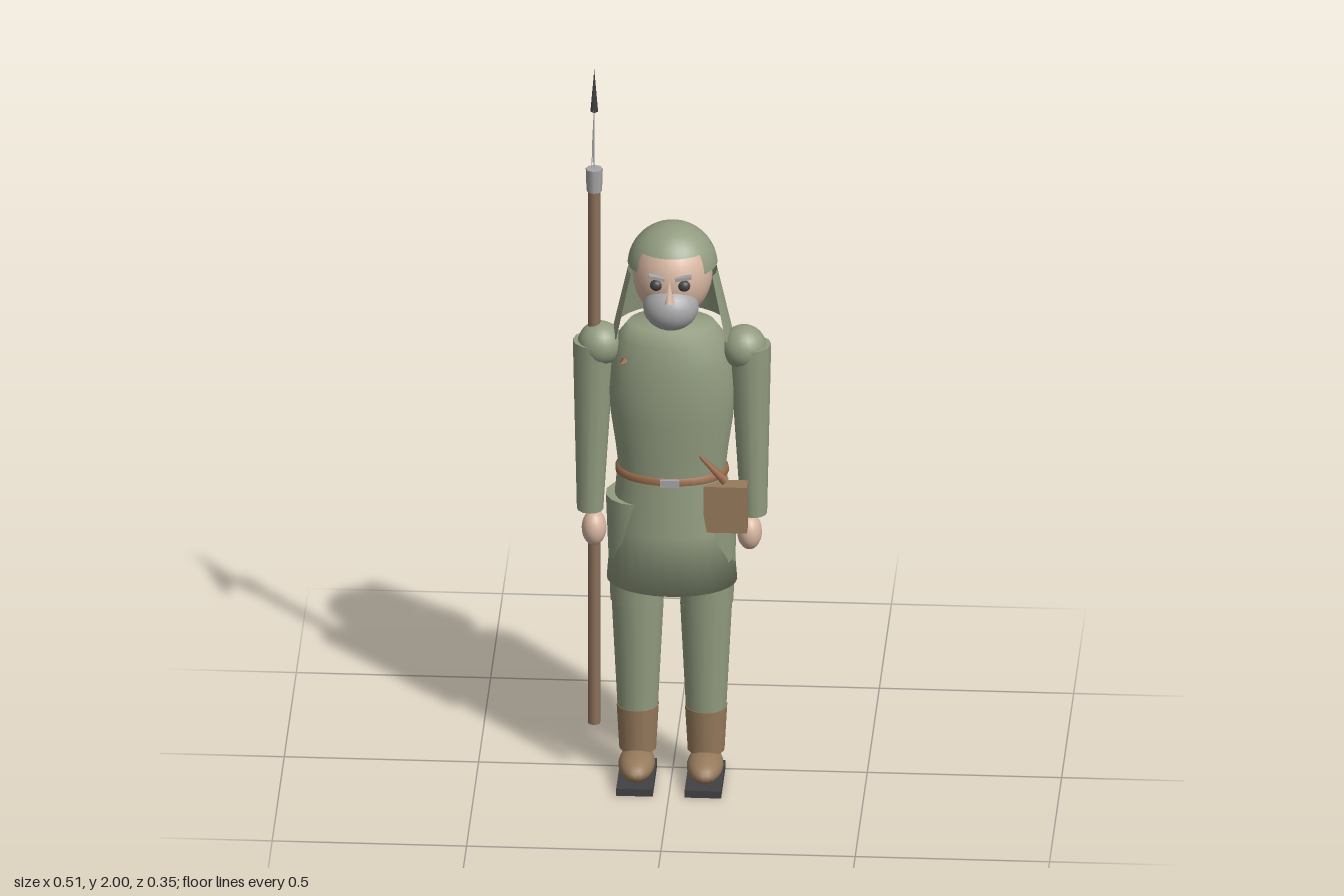
import * as THREE from 'three';

const mat = (name, color, side = THREE.FrontSide) => {
  const m = new THREE.MeshStandardMaterial({ color, side });
  m.name = name;
  return m;
};

export function createModel() {
  const green = mat('cloth green', 0x929c80, THREE.DoubleSide);
  const brown = mat('boot leather', 0x967a5c);
  const wood = mat('shaft wood', 0x8c705a);
  const belt = mat('belt leather', 0x9a6a4a);
  const skin = mat('skin', 0xd6b5a0);
  const grey = mat('steel and beard grey', 0xa6a6a8, THREE.DoubleSide);
  const dark = mat('dark', 0x424244);

  const model = new THREE.Group();
  model.name = 'guard';
  const add = (name, geo, material, x = 0, y = 0, z = 0, scale = [1, 1, 1]) => {
    const m = new THREE.Mesh(geo, material);
    m.name = name;
    m.position.set(x, y, z);
    m.scale.set(...scale);
    model.add(m);
    return m;
  };
  const ball = (name, material, x, y, z, rx, ry, rz) =>
    add(name, new THREE.SphereGeometry(1, 20, 14), material, x, y, z, [rx, ry, rz]);
  const box = (name, material, x, y, z, w, h, d) =>
    add(name, new THREE.BoxGeometry(w, h, d), material, x, y, z);
  // Upright tapered cylinder between two heights
  const tube = (name, material, x, z, y0, y1, r0, r1, sides = 14) =>
    add(name, new THREE.CylinderGeometry(r1, r0, y1 - y0, sides), material, x, (y0 + y1) / 2, z);
  const lathe = (name, material, pts, z, flat) =>
    add(name, new THREE.LatheGeometry(pts.map(([r, y]) => new THREE.Vector2(r, y)), 28), material, 0, 0, z, [1, 1, flat]);

  // Legs, boots, arms and hands
  for (const s of [1, -1]) {
    const side = s > 0 ? 'left' : 'right';
    tube(side + 'Thigh', green, s * 0.09, 0.038, 0.5, 0.8, 0.069, 0.081);
    tube(side + 'Shin', green, s * 0.088, 0.038, 0.2, 0.5, 0.053, 0.068);
    tube(side + 'BootShaft', brown, s * 0.088, 0.038, 0.075, 0.2, 0.048, 0.055);
    ball(side + 'Shoe', brown, s * 0.088, 0.05, 0.083, 0.047, 0.036, 0.092);
    box(side + 'Sole', dark, s * 0.088, 0.01, 0.084, 0.094, 0.02, 0.188);

    ball(side + 'Shoulder', green, s * 0.185, 1.222, 0.038, 0.058, 0.058, 0.058);
    const arm = tube(side + 'Sleeve', green, s * 0.206, 0.038, 0.75, 1.23, 0.034, 0.054, 12);
    arm.rotation.z = s * 0.02;
    ball(side + 'Hand', skin, s * 0.2, 0.7, 0.045, 0.032, 0.048, 0.04);
  }

  // Coat
  lathe('coatSkirt', green, [[0, 0.56], [0.168, 0.56], [0.155, 0.72], [0.14, 0.88]], 0.037, 0.71);
  lathe('coatBody', green, [[0.137, 0.87], [0.145, 0.94], [0.158, 1.03], [0.163, 1.1],
    [0.157, 1.18], [0.14, 1.25], [0.11, 1.29], [0, 1.3]], 0.037, 0.66);
  lathe('belt', belt, [[0.142, 0.863], [0.146, 0.866], [0.146, 0.88], [0.138, 0.884]], 0.037, 0.69);
  box('buckle', grey, 0, 0.873, 0.137, 0.05, 0.02, 0.009);
  box('pouch', brown, 0.142, 0.795, 0.1, 0.112, 0.13, 0.046);
  const knife = add('knifeHandle', new THREE.CylinderGeometry(0.004, 0.012, 0.1, 6), belt, 0.108, 0.91, 0.115);
  knife.rotation.z = 0.75;
  const toggle = add('chestToggle', new THREE.ConeGeometry(0.014, 0.035, 6), belt, -0.122, 1.2, 0.105);
  toggle.rotation.set(Math.PI / 2, 0, 0.5);

  // Head and face
  tube('neck', skin, 0, 0.025, 1.27, 1.36, 0.06, 0.06);
  ball('head', skin, 0, 1.42, 0.018, 0.103, 0.12, 0.108);
  ball('beard', grey, 0, 1.356, 0.086, 0.072, 0.063, 0.07);
  const nose = add('nose', new THREE.ConeGeometry(0.014, 0.06, 6), skin, 0, 1.418, 0.137);
  nose.rotation.x = -0.3;
  for (const s of [1, -1]) {
    ball('eye', dark, s * 0.036, 1.428, 0.117, 0.016, 0.015, 0.013);
    const brow = box('brow', grey, s * 0.034, 1.452, 0.122, 0.042, 0.008, 0.016);
    brow.rotation.z = s * 0.2;
  }

  // Cap: crown, then a lower rim open over the face
  const PI = Math.PI;
  add('capCrown', new THREE.SphereGeometry(0.116, 28, 10, 0, 2 * PI, 0, 1.02), green, 0, 1.44, 0.016);
  add('capRim', new THREE.SphereGeometry(0.116, 28, 4, PI / 2 + 0.85, 2 * PI - 1.7, 1.02, 0.46), green, 0, 1.44, 0.016);

  // Neck cloth and hanging tail
  add('neckCloth', new THREE.CylinderGeometry(0.115, 0.155, 0.18, 18, 1, true, 1.15, 2 * PI - 2.3), green, 0, 1.34, 0.015);
  const tail = add('capTail', new THREE.CylinderGeometry(0.03, 0.013, 0.25, 8), green, 0, 1.358, -0.135, [1, 1, 0.6]);
  tail.rotation.x = 0.24;

  // Polearm
  const px = -0.2, pz = 0.038;
  tube('shaft', wood, px, pz, 0.14, 1.68, 0.016, 0.016, 10);
  tube('ferrule', grey, px, pz, 1.655, 1.718, 0.02, 0.022, 8);
  const blade = new THREE.Shape([[0, 1.71], [0.063, 1.78], [0.112, 1.765], [0.104, 1.8], [0.08, 1.845], [0, 1.91]]
    .map(([a, b]) => new THREE.Vector2(a, b)));
  add('blade', new THREE.ShapeGeometry(blade), grey, px, 0, pz).rotation.y = -PI / 2;
  add('spike', new THREE.ConeGeometry(0.01, 0.12, 4), dark, px, 1.94, pz);

  return model;
}
